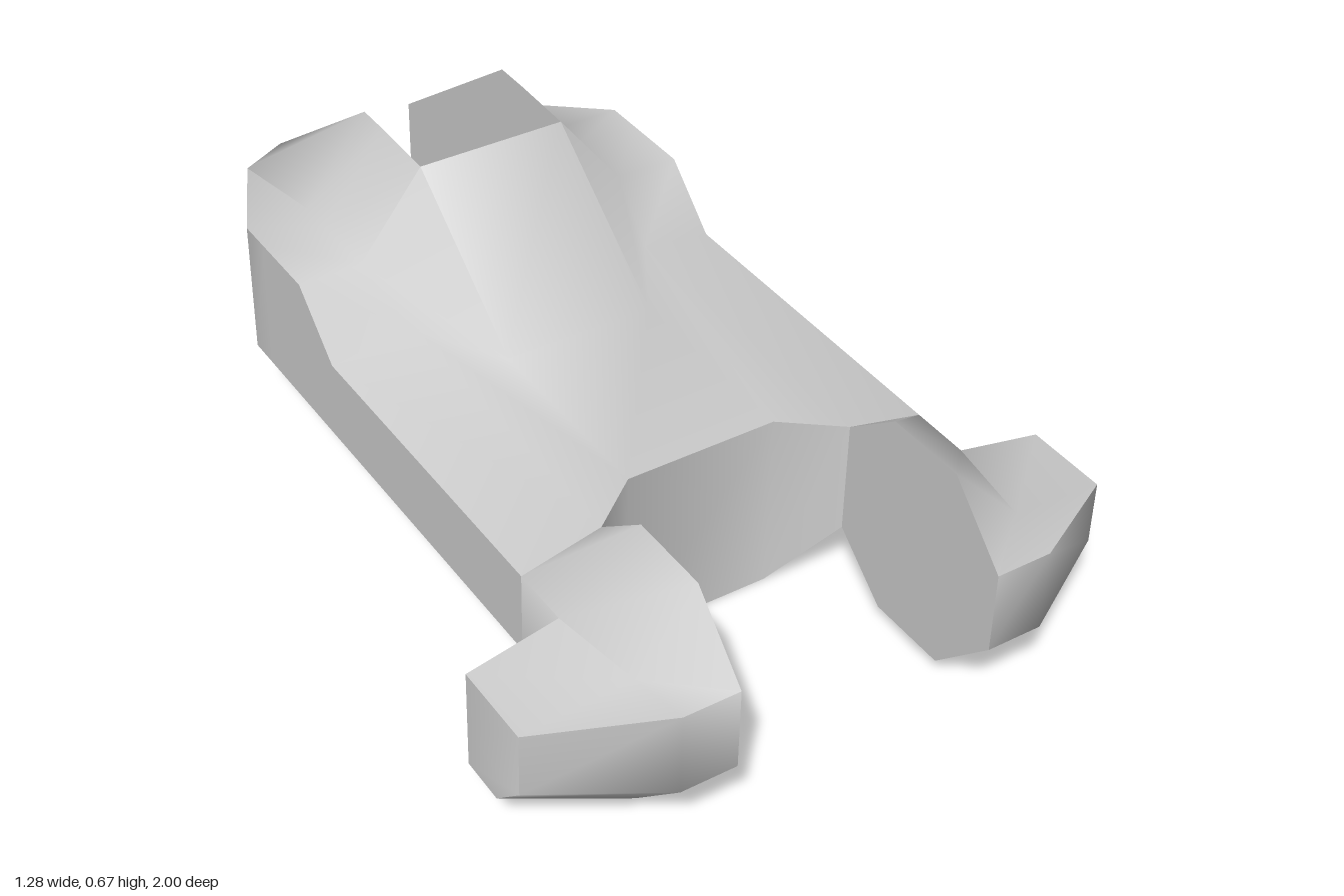
import * as THREE from 'three';
import { toCreasedNormals } from 'three/addons/utils/BufferGeometryUtils.js';

const mirror = ([x, y, z]) => [-x, y, z];

// Collects convex polygons into a shell with soft shading and sharp hard edges
class Shell {
  constructor() { this.positions = []; }

  poly(points) {
    const v = points.map((p) => new THREE.Vector3(...p));
    for (let i = 1; i < v.length - 1; i++) {
      const tri = new THREE.Triangle(v[0], v[i], v[i + 1]);
      if (tri.getArea() < 1e-7) continue;
      for (const p of [tri.a, tri.b, tri.c]) this.positions.push(p.x, p.y, p.z);
    }
  }

  // Skin between cross-sections ordered front to back
  loft(sections) {
    for (let s = 0; s < sections.length - 1; s++) {
      const a = sections[s], b = sections[s + 1];
      for (let j = 0; j < a.length - 1; j++) this.poly([a[j], a[j + 1], b[j + 1], b[j]]);
    }
  }

  // Repeat everything so far on the other side
  addMirror() {
    const p = this.positions, n = p.length;
    for (let i = 0; i < n; i += 9) {
      for (const k of [0, 6, 3]) p.push(-p[i + k], p[i + k + 1], p[i + k + 2]);
    }
  }

  mesh(name) {
    const geometry = new THREE.BufferGeometry();
    geometry.setAttribute('position', new THREE.Float32BufferAttribute(this.positions, 3));
    const mesh = new THREE.Mesh(
      toCreasedNormals(geometry, 1.05),
      new THREE.MeshStandardMaterial({ color: 0xcccccc })
    );
    mesh.name = name;
    return mesh;
  }
}

// Half sections of the hull: ridge, shoulder, deck edge, sill, chine, keel
const hullSections = [
  [[0.165, 0.4, 0.46], [0.28, 0.4, 0.55], [0.45, 0.36, 0.55], [0.45, 0.18, 0.55], [0.28, 0.15, 0.55], [0.165, 0, 0.46]],
  [[0.165, 0.4, 0.02], [0.28, 0.4, -0.17], [0.45, 0.36, -0.19], [0.45, 0.18, -0.19], [0.28, 0.15, -0.19], [0.165, 0, -0.19]],
  [[0.165, 0.665, -0.32], [0.31, 0.48, -0.32], [0.45, 0.48, -0.32], [0.45, 0.18, -0.32], [0.28, 0.15, -0.32], [0.165, 0, -0.32]],
  [[0.165, 0.67, -0.48], [0.31, 0.48, -0.48], [0.45, 0.48, -0.48], [0.45, 0.18, -0.48], [0.28, 0.15, -0.48], [0.165, 0.05, -0.48]],
  [[0.165, 0.67, -0.56], [0.31, 0.48, -0.56], [0.45, 0.48, -0.56], [0.45, 0.18, -0.56], [0.28, 0.15, -0.56], [0.165, 0.15, -0.56]],
  [[0.165, 0.36, -1], [0.28, 0.37, -0.93], [0.28, 0.37, -0.93], [0.28, 0.18, -0.93], [0.28, 0.18, -0.93], [0.165, 0.18, -1]],
];

function makeHull() {
  const shell = new Shell();
  const ridge = hullSections.map((s) => s[0]);
  const keel = hullSections.map((s) => s[5]);
  const [A, B, , , b, a] = hullSections[0];
  const tail = hullSections[5];

  // Sides, tail ends, slot walls and angled notch walls
  shell.loft(hullSections);
  shell.poly([tail[0], tail[1], tail[4], tail[5]]);
  shell.poly([keel[4], ridge[2], ridge[3], ridge[4], ridge[5], keel[5]]);
  shell.poly([a, b, B, A]);
  shell.addMirror();

  // Centre strip: deck, hump, sloping slot floor, belly and notch wall
  const strip = [ridge[0], ridge[1], ridge[2], keel[4], keel[3], keel[2], keel[1], keel[0], ridge[0]];
  for (let i = 0; i < strip.length - 1; i++) {
    shell.poly([mirror(strip[i]), strip[i], strip[i + 1], mirror(strip[i + 1])]);
  }
  return shell.mesh('hull');
}

// Pod sections: crest, shoulder, outer top, outer middle, outer bottom, belly, inner bottom
const podSections = [
  [[0.28, 0.36, 1], [0.4, 0.36, 1], [0.4, 0.36, 1], [0.4, 0.18, 1], [0.4, 0.18, 1], [0.4, 0.18, 1], [0.28, 0.18, 1]],
  [[0.28, 0.5, 0.86], [0.42, 0.36, 0.88], [0.64, 0.32, 0.86], [0.64, 0.18, 0.86], [0.64, 0.1, 0.78], [0.4, 0.04, 0.86], [0.28, 0.04, 0.86]],
  [[0.28, 0.5, 0.68], [0.45, 0.36, 0.68], [0.64, 0.32, 0.68], [0.64, 0.18, 0.68], [0.64, 0.1, 0.68], [0.4, 0.04, 0.68], [0.28, 0.04, 0.68]],
];

function makeFrontPods() {
  const shell = new Shell();
  const [front, middle, back] = podSections;
  const [, B, C, c, b] = hullSections[0];
  const sill = [0.45, 0.18, 0.68];

  // Pod skin, front face and rear face
  shell.loft(podSections);
  shell.poly([front[6], front[3], front[1], front[0]]);
  shell.poly([sill, ...back.slice(1)]);

  // Arm joining the pod to the hull
  shell.loft([[back[0], back[1], sill, back[6]], [B, C, c, b]]);

  // Flat inner wall
  shell.poly([b, back[6], middle[6], front[6], front[0], middle[0], back[0], B]);
  shell.addMirror();
  return shell.mesh('frontPods');
}

export function createModel() {
  const model = new THREE.Group();
  model.name = 'craft';
  model.add(makeHull(), makeFrontPods());
  return model;
}
